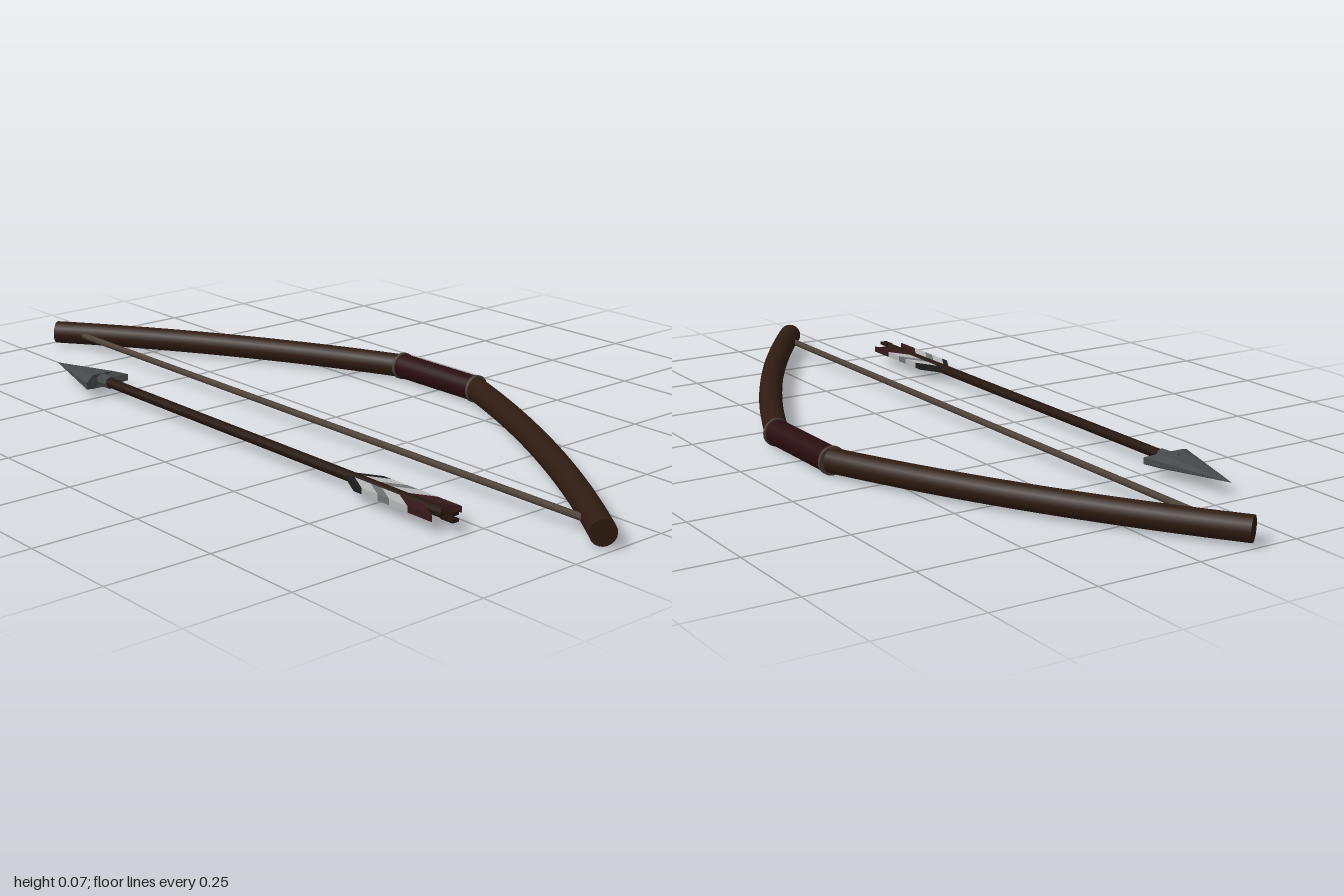
import * as THREE from 'three';

const Y = 0.034; // height of every centre line

const mat = (color, extra = {}) => new THREE.MeshStandardMaterial({ color, ...extra });
const wood = mat(0x2f1b11);
const gripRed = mat(0x290c10);
const bandGrey = mat(0x4a4038);
const stringBrown = mat(0x4d4138);
const shaftWood = mat(0x24140c);
const steel = mat(0x46494b, { flatShading: true, side: THREE.DoubleSide });

function add(parent, name, geometry, material) {
  const mesh = new THREE.Mesh(geometry, material);
  mesh.name = name;
  parent.add(mesh);
  return mesh;
}

// Cylinder lying along z, from z0 to z1
function rod(parent, name, x, z0, z1, r, material, sides = 16, rFront = r) {
  const g = new THREE.CylinderGeometry(rFront, r, z1 - z0, sides).rotateX(Math.PI / 2);
  const mesh = add(parent, name, g, material);
  mesh.position.set(x, Y, (z0 + z1) / 2);
  return mesh;
}

function buildBow() {
  const bow = new THREE.Group();
  bow.name = 'bow';
  const gripX = 0.337, r = 0.029;

  // Curved limbs, one each way from the grip
  for (const s of [-1, 1]) {
    const side = s < 0 ? 'back' : 'front';
    const curve = new THREE.QuadraticBezierCurve3(
      new THREE.Vector3(gripX, Y, s * 0.13),
      new THREE.Vector3(0.153, Y, s * 0.578),
      new THREE.Vector3(-0.152, Y, s * 0.981));
    add(bow, side + 'Limb', new THREE.TubeGeometry(curve, 28, r, 20), wood);

    // Flat end of the limb
    const cap = add(bow, side + 'LimbTip', new THREE.CircleGeometry(r, 20), wood);
    cap.position.copy(curve.getPoint(1));
    cap.lookAt(cap.position.clone().add(curve.getTangent(1)));

    // Collar where limb meets grip
    rod(bow, side + 'Collar', gripX, s * 0.132 - 0.004, s * 0.132 + 0.004, 0.034, bandGrey, 24);
  }

  rod(bow, 'grip', gripX, -0.13, 0.13, 0.031, gripRed, 24);
  rod(bow, 'bowString', -0.12, -0.925, 0.925, 0.008, stringBrown, 10);
  return bow;
}

// Flattened eight-sided point with swept-back barbs
function arrowheadGeometry() {
  const half = [[0.061, 0.008], [0.03, 0.0175], [-0.03, 0.0175], [-0.061, 0.008]];
  const ring = [...half, ...half.map(([x, y]) => [-x, -y])]
    .map(([x, y]) => [x, y, -0.53 + 0.027 * Math.max(0, (Math.abs(x) - 0.02) / 0.041)]);
  const tip = [0, 0, -0.73], back = [0, 0, -0.53];
  const pos = [];
  ring.forEach((a, i) => {
    const b = ring[(i + 1) % ring.length];
    pos.push(...b, ...a, ...tip, ...a, ...b, ...back);
  });
  const g = new THREE.BufferGeometry();
  g.setAttribute('position', new THREE.Float32BufferAttribute(pos, 3));
  g.computeVertexNormals();
  return g;
}

function buildArrow() {
  const arrow = new THREE.Group();
  arrow.name = 'arrow';
  const x = -0.312;

  rod(arrow, 'shaft', x, -0.53, 0.7, 0.012, shaftWood, 12);
  rod(arrow, 'headSocket', x, -0.55, -0.49, 0.018, steel, 8, 0.016);
  add(arrow, 'arrowhead', arrowheadGeometry(), steel).position.set(x, Y, 0);

  // Split nock behind the shaft
  for (const s of [-1, 1]) {
    const tine = add(arrow, 'nockTine', new THREE.BoxGeometry(0.018, 0.007, 0.035), shaftWood);
    tine.position.set(x, Y + s * 0.0075, 0.7145);
  }

  // Two vanes made of slanted colour bands: start and end z at the shaft
  const bands = [
    [0.405, 0.43, 0x1d1c1c], [0.43, 0.48, 0xb4b6b6], [0.48, 0.515, 0x6f7272],
    [0.515, 0.57, 0xb4b6b6], [0.57, 0.642, 0x35171a],
  ];
  const depth = 0.014, inner = 0.006, outer = 0.042, slant = 0.065;
  for (const s of [-1, 1]) {
    const vane = new THREE.Group();
    vane.name = s < 0 ? 'rightVane' : 'leftVane';
    vane.position.set(x, Y, 0);
    for (const [z0, z1, color] of bands) {
      const shape = new THREE.Shape([
        [inner, z0], [outer, z0 + slant], [outer, z1 + slant], [inner, z1],
      ].map(([u, z]) => new THREE.Vector2(s * u, z)));
      const g = new THREE.ExtrudeGeometry(shape, { depth, bevelEnabled: false });
      g.translate(0, 0, -depth / 2).rotateX(Math.PI / 2);
      add(vane, 'vaneBand', g, mat(color));
    }
    arrow.add(vane);
  }
  return arrow;
}

export function createModel() {
  const model = new THREE.Group();
  model.name = 'bowAndArrow';
  model.add(buildBow(), buildArrow());
  return model;
}
